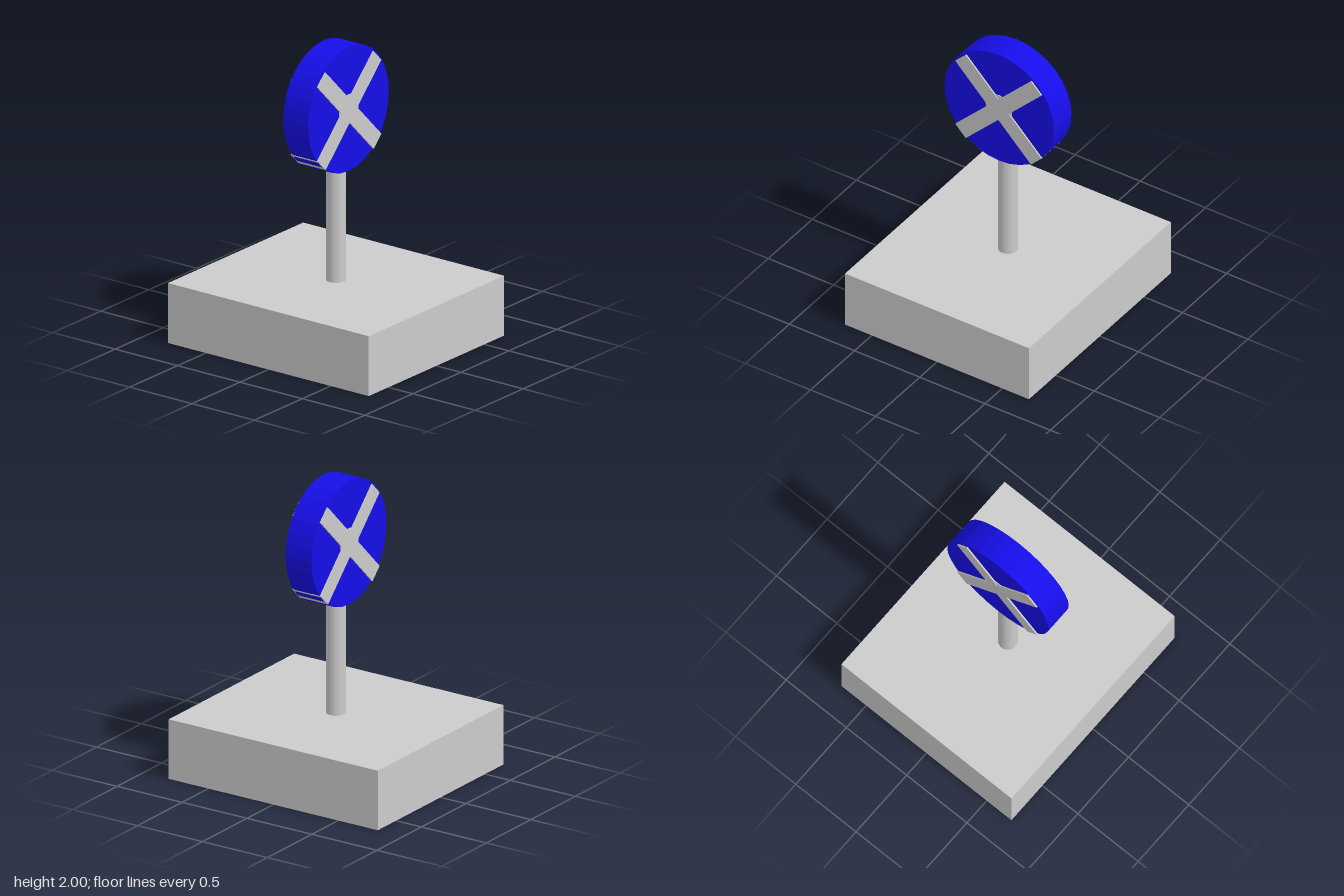
import * as THREE from 'three';

export function createModel() {
  const model = new THREE.Group();
  const grey = new THREE.MeshStandardMaterial({ color: 0xcccccc });
  const greyFlat = new THREE.MeshStandardMaterial({ color: 0xcccccc, flatShading: true });
  const blue = new THREE.MeshStandardMaterial({ color: 0x160ee8, flatShading: true });

  const add = (name, geometry, material, y) => {
    const mesh = new THREE.Mesh(geometry, material);
    mesh.name = name;
    mesh.position.y = y;
    model.add(mesh);
    return mesh;
  };

  // Heavy block the post stands on
  add('base', new THREE.BoxGeometry(1.41, 0.405, 1.61), grey, 0.2025);

  // Round post, running up into the disc
  add('post', new THREE.CylinderGeometry(0.065, 0.065, 0.82, 24), greyFlat, 0.8);

  // Upright disc facing front and back
  const disc = new THREE.CylinderGeometry(0.42, 0.42, 0.2, 32).rotateX(Math.PI / 2);
  add('disc', disc, blue, 1.58);

  // Hub passing through the disc, just proud of both faces
  const hub = new THREE.CylinderGeometry(0.1, 0.1, 0.21, 24).rotateX(Math.PI / 2);
  add('hub', hub, greyFlat, 1.58);

  // Two diagonal bars crossing on both faces
  for (const side of [-1, 1]) {
    const bar = add('crossBar', new THREE.BoxGeometry(0.82, 0.113, 0.22), grey, 1.57);
    bar.rotation.z = side * Math.PI / 4;
  }

  return model;
}
